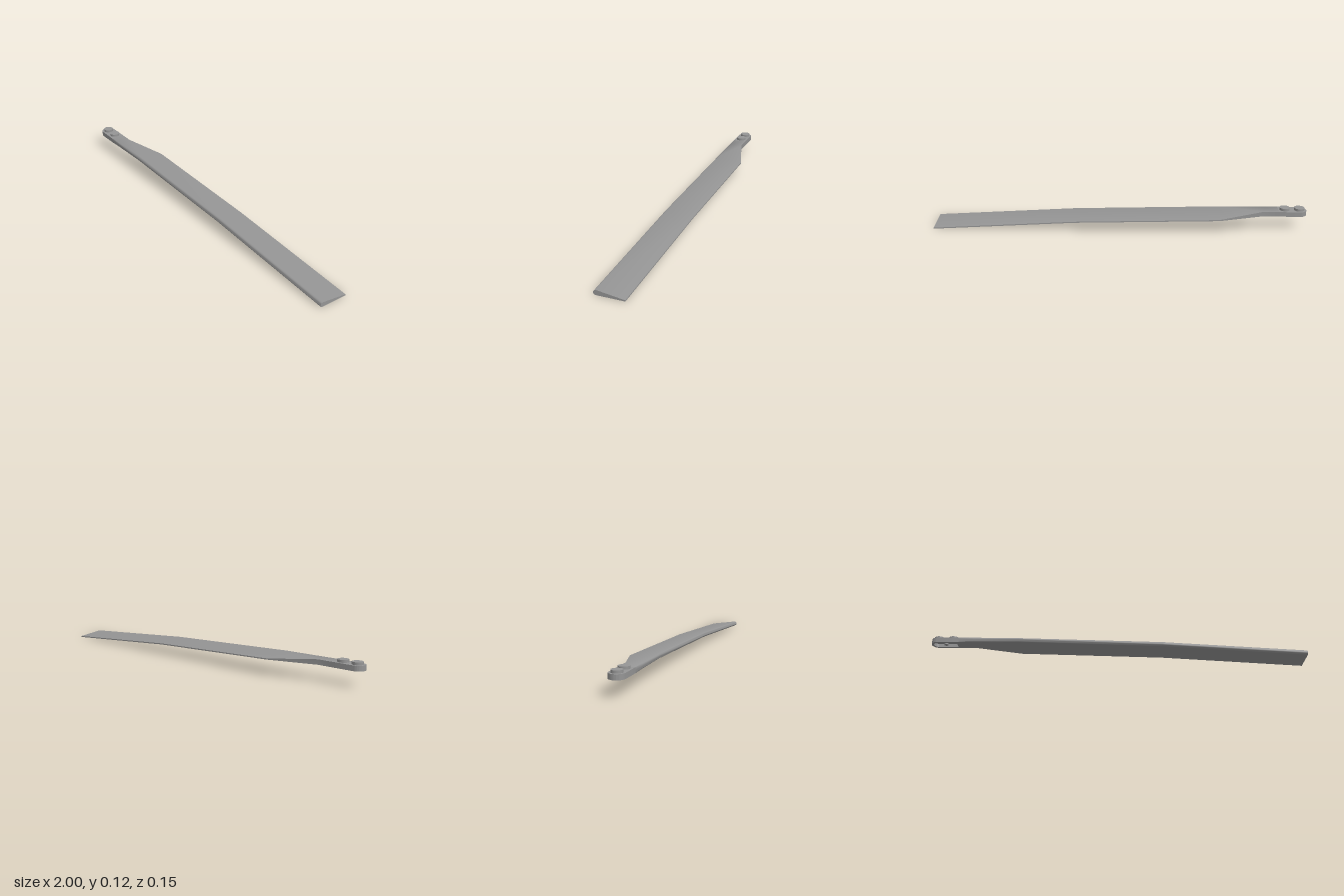
import * as THREE from 'three';
import { toCreasedNormals } from 'three/addons/utils/BufferGeometryUtils.js';

const material = new THREE.MeshStandardMaterial({ color: 0x959595 });
const R = 0.0385;          // half width of the root arm
const BASE = 0.077;        // underside height of the root
const THICK = 0.026;       // thickness at the leading edge
const JOIN = -0.85;        // where the hollow root meets the solid blade

function addMesh(group, name, geometry) {
  const mesh = new THREE.Mesh(geometry, material);
  mesh.name = name;
  group.add(mesh);
  return mesh;
}

// Rounded leading edge, as [z, y] from top to bottom
const nose = [[0.065, 0.026], [0.071, 0.0235], [0.075, 0.0185], [0.077, 0.012],
  [0.0755, 0.0055], [0.071, 0.0015], [0.065, 0]];

// Closed cross-section, from the trailing edge over the top to the underside
function section({ x, rear, rearTop, y, round }) {
  const points = [[rear, 0], [rear, rearTop]];
  for (const [z, h] of nose) points.push([THREE.MathUtils.lerp(0.077, z, round), h]);
  return points.map(([z, h]) => [x, y + h, z]);
}

function bladeGeometry() {
  const rings = [
    { x: JOIN, rear: 0, rearTop: THICK, y: BASE, round: 0 },
    { x: -0.77, rear: 0, rearTop: THICK, y: BASE, round: 0.33 },
    { x: -0.53, rear: -0.077, rearTop: 0.006, y: BASE, round: 1 },
    { x: 0.24, rear: -0.077, rearTop: 0.006, y: 0.051, round: 1 },
    { x: 1, rear: -0.077, rearTop: 0.006, y: 0, round: 1 },
  ].map(section);
  const n = rings[0].length;
  const index = [];
  for (let r = 0; r < rings.length - 1; r++) {
    for (let i = 0; i < n; i++) {
      const j = (i + 1) % n;
      const a = r * n + i, b = r * n + j, c = (r + 1) * n + j, d = (r + 1) * n + i;
      index.push(a, b, c, a, c, d);
    }
  }
  // End caps
  const last = (rings.length - 1) * n;
  for (let i = 1; i < n - 1; i++) {
    index.push(last, last + i, last + i + 1);
    index.push(0, i + 1, i);
  }
  const geometry = new THREE.BufferGeometry();
  geometry.setAttribute('position', new THREE.Float32BufferAttribute(rings.flat(2), 3));
  geometry.setIndex(index);
  return toCreasedNormals(geometry, 1.2);
}

// Arm outline: round outer end, square inner end
function armOutline() {
  const shape = new THREE.Shape();
  shape.moveTo(JOIN, -2 * R);
  shape.lineTo(JOIN, 0);
  shape.lineTo(-1 + R, 0);
  shape.absarc(-1 + R, -R, R, Math.PI / 2, Math.PI * 1.5, false);
  shape.closePath();
  return shape;
}

// Slot opening on the underside
function slotHole() {
  const r = R - 0.012;
  const hole = new THREE.Path();
  hole.moveTo(-0.862, -R - r);
  hole.lineTo(-0.862, -R + r);
  hole.lineTo(-1 + R, -R + r);
  hole.absarc(-1 + R, -R, r, Math.PI / 2, Math.PI * 1.5, false);
  hole.closePath();
  return hole;
}

function slab(shape, bottom, height) {
  const geometry = new THREE.ExtrudeGeometry(shape, { depth: height, bevelEnabled: false, curveSegments: 24 });
  geometry.rotateX(-Math.PI / 2).translate(0, bottom, 0);
  return toCreasedNormals(geometry, 0.6);
}

export function createModel() {
  const model = new THREE.Group();
  model.name = 'rotorBlade';

  addMesh(model, 'blade', bladeGeometry());

  // Hollow root: rim with a slot, closed by a top plate
  const rim = armOutline();
  rim.holes.push(slotHole());
  addMesh(model, 'rootRim', slab(rim, BASE, 0.018));
  addMesh(model, 'rootTop', slab(armOutline(), BASE + 0.018, THICK - 0.018));

  // Two round studs on top
  for (const x of [-0.9615, -0.884]) {
    const stud = addMesh(model, 'stud', new THREE.CylinderGeometry(0.027, 0.027, 0.016, 32));
    stud.position.set(x, 0.108, R);
  }

  // Small pin inside the slot, between the studs
  const pin = addMesh(model, 'underPin', new THREE.CylinderGeometry(0.011, 0.011, 0.019, 20));
  pin.position.set(-0.923, BASE + 0.0095, R);

  return model;
}
